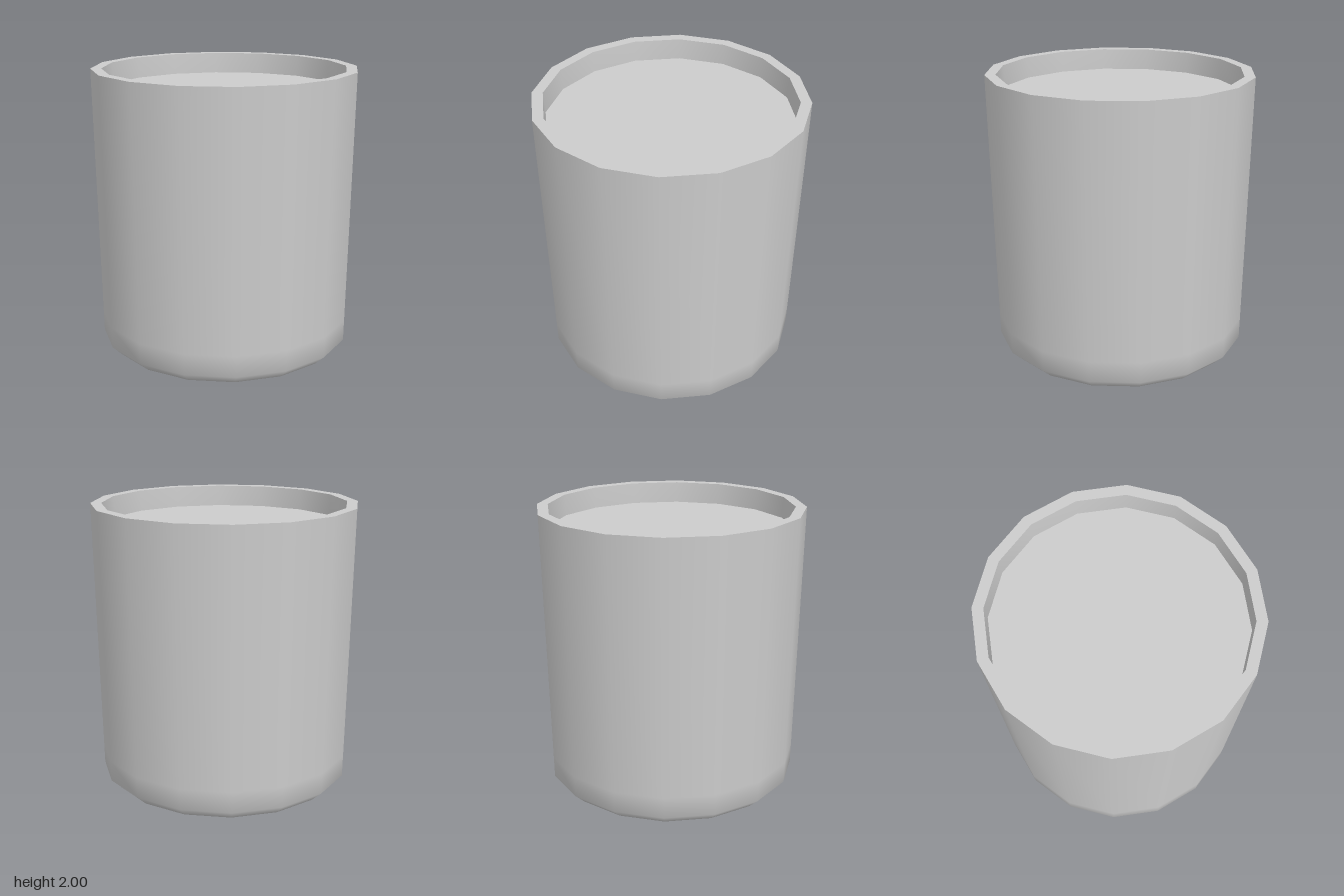
import * as THREE from 'three';

const SIDES = 16;
const grey = new THREE.MeshStandardMaterial({ color: 0xcccccc });

// Revolve a profile of [radius, height] points; each part is smooth within itself.
function revolve(name, profile) {
  const points = profile.map(([r, y]) => new THREE.Vector2(r, y));
  const mesh = new THREE.Mesh(new THREE.LatheGeometry(points, SIDES), grey);
  mesh.name = name;
  return mesh;
}

export function createModel() {
  const cup = new THREE.Group();
  cup.name = 'cup';
  cup.add(
    // Base, bevel and gently flaring wall
    revolve('outerWall', [[0, 0], [0.74, 0], [0.82, 0], [0.895, 0.07], [0.898, 0.22], [0.93, 2]]),
    // Flat lip
    revolve('rim', [[0.93, 2], [0.855, 2]]),
    // Inside of the cup, running down under the drink
    revolve('innerWall', [[0.855, 2], [0.847, 1.85], [0.82, 0.1]]),
    revolve('innerFloor', [[0.82, 0.1], [0, 0.1]]),
    // Surface of the drink
    revolve('liquid', [[0.847, 1.85], [0, 1.85]]),
  );
  return cup;
}
